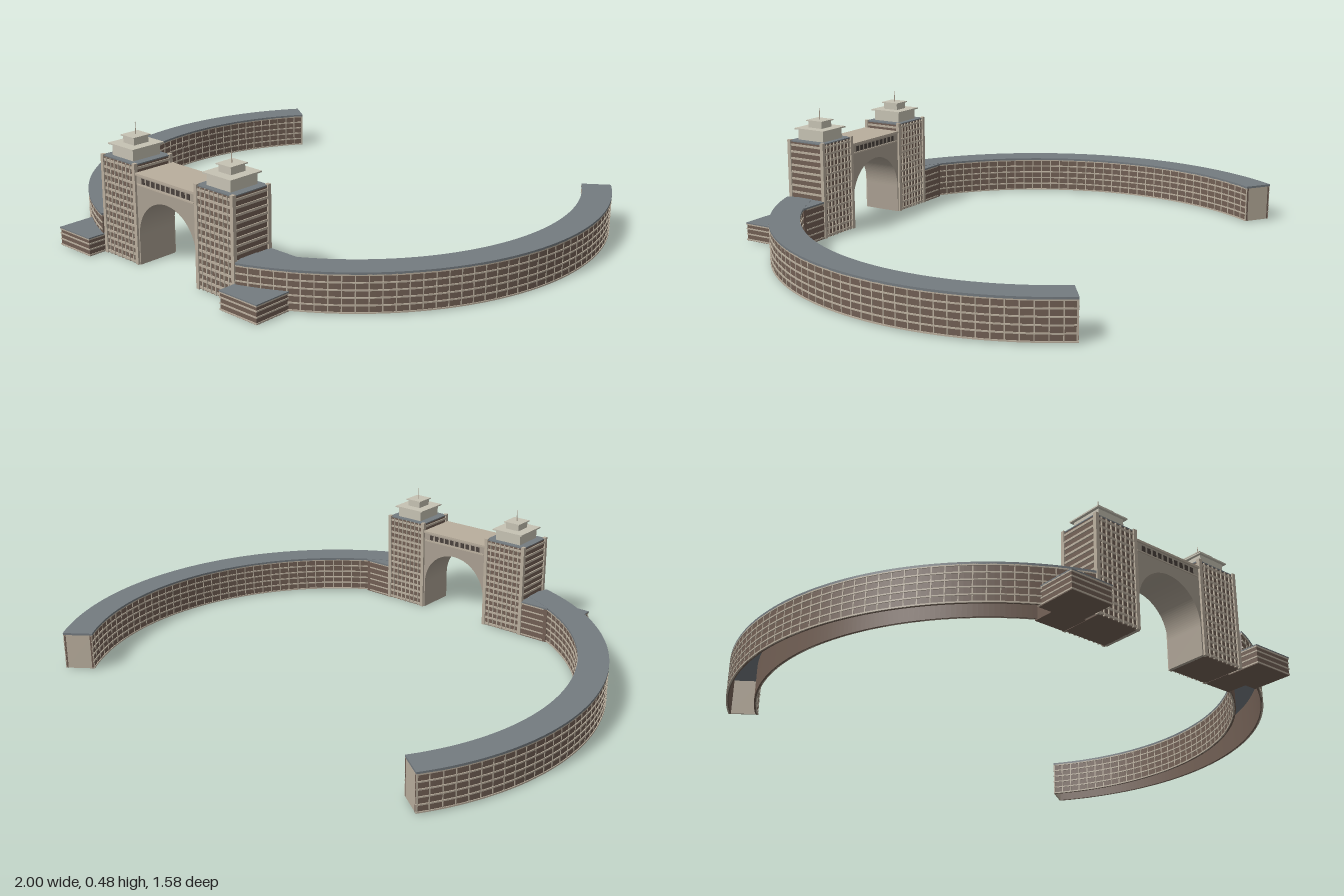
import * as THREE from 'three';

const mat = (color) => new THREE.MeshStandardMaterial({ color });
const BRICK = mat(0x715f54), TRIM = mat(0xb9ae9d), STONE = mat(0xa99f91);
const SLATE = mat(0x747b80), CREAM = mat(0xc6c2b3), DARK = mat(0x4a423d);
const RAD = Math.PI / 180;
const RING_Z = -0.215, A0 = -35, A1 = 70; // ring centre and angular range of each wing

function add(parent, name, geometry, material) {
  const mesh = new THREE.Mesh(geometry, material);
  mesh.name = name;
  parent.add(mesh);
  return mesh;
}

// box given by its centre in x and z, its size, and its bottom and top
function box(parent, name, material, x, z, w, d, y0, y1) {
  const m = add(parent, name, new THREE.BoxGeometry(w, y1 - y0, d), material);
  m.position.set(x, (y0 + y1) / 2, z);
  return m;
}

// curved strip between two radii, on the side given by +1 or -1
function arc(parent, name, material, side, ri, ro, y0, y1) {
  const a = (side > 0 ? -A1 : 180 - A0 * -1) * RAD;
  const b = (side > 0 ? -A0 : 180 + A1) * RAD;
  const s = new THREE.Shape();
  s.absarc(0, 0, ro, a, b, false);
  s.absarc(0, 0, ri, b, a, true);
  const g = new THREE.ExtrudeGeometry(s, { depth: y1 - y0, bevelEnabled: false, curveSegments: 48 });
  g.rotateX(-Math.PI / 2);
  const m = add(parent, name, g, material);
  m.position.set(0, y0, RING_Z);
  return m;
}

// upright block placed on the ring at a given angle
function radial(parent, name, material, side, angle, r, depth, width, y0, y1) {
  const a = angle * RAD;
  const m = box(parent, name, material, side * r * Math.cos(a), RING_Z + r * Math.sin(a), depth, width, y0, y1);
  m.rotation.y = -side * a;
  return m;
}

function wing(side) {
  const g = new THREE.Group();
  g.name = side > 0 ? 'leftWing' : 'rightWing';
  // hollow curved building with a slate roof
  arc(g, 'outerWall', BRICK, side, 0.990, 0.997, 0.004, 0.137);
  arc(g, 'innerWall', BRICK, side, 0.893, 0.900, 0.004, 0.137);
  arc(g, 'wingRoof', SLATE, side, 0.89, 1.0, 0.137, 0.145);
  // floor bands
  for (let i = 0; i < 6; i++) {
    const y = 0.004 + i * 0.0258;
    arc(g, 'outerBand', TRIM, side, 0.994, 1.0, y, y + 0.005);
    arc(g, 'innerBand', TRIM, side, 0.89, 0.896, y, y + 0.005);
  }
  // pilasters
  for (let a = A0 + 2.5; a < A1; a += 2.5) {
    radial(g, 'outerPilaster', TRIM, side, a, 0.9965, 0.004, 0.004, 0.004, 0.137);
    radial(g, 'innerPilaster', TRIM, side, a, 0.8935, 0.004, 0.004, 0.004, 0.137);
  }
  radial(g, 'endWall', TRIM, side, A0 + 0.2, 0.945, 0.108, 0.006, 0.004, 0.137);
  // infill behind the wing, next to the tower
  box(g, 'rearLink', BRICK, side * 0.39, 0.605, 0.12, 0.104, 0, 0.137);
  box(g, 'rearLinkRoof', SLATE, side * 0.39, 0.605, 0.12, 0.108, 0.137, 0.144);
  for (let i = 0; i < 6; i++) {
    const y = 0.004 + i * 0.0258;
    box(g, 'rearLinkBand', TRIM, side * 0.385, 0.555, 0.1, 0.008, y, y + 0.005);
  }
  // low annex in front
  box(g, 'annex', BRICK, side * 0.42, 0.71, 0.164, 0.154, 0, 0.066);
  box(g, 'annexRoof', SLATE, side * 0.42, 0.71, 0.17, 0.16, 0.066, 0.07);
  for (const y of [0.002, 0.023, 0.044, 0.061])
    box(g, 'annexBand', TRIM, side * 0.42, 0.71, 0.169, 0.159, y, y + 0.005);
  return g;
}

function tower(side) {
  const g = new THREE.Group();
  g.name = side > 0 ? 'leftTower' : 'rightTower';
  const x = side * 0.242, z = 0.635;
  box(g, 'towerBody', BRICK, x, z, 0.172, 0.158, 0, 0.36);
  // projecting floor bands
  for (let i = 0; i < 14; i++) {
    const y = 0.004 + i * 0.0262;
    box(g, 'towerBand', TRIM, x, z, 0.18, 0.166, y, y + 0.008);
  }
  // mullions on front and back, corner piers
  for (const s of [-1, 1]) {
    for (let i = -3; i <= 3; i++)
      box(g, 'mullion', TRIM, x + i * 0.021, z + s * 0.08, 0.004, 0.008, 0, 0.36);
    for (const t of [-1, 1])
      box(g, 'cornerPier', TRIM, x + s * 0.085, z + t * 0.079, 0.014, 0.014, 0, 0.367);
  }
  box(g, 'towerRoof', SLATE, x, z, 0.176, 0.162, 0.36, 0.364);
  // stepped crown with a spire
  box(g, 'crownLower', CREAM, x, z, 0.112, 0.12, 0.362, 0.404);
  box(g, 'crownLowerRoof', CREAM, x, z, 0.134, 0.14, 0.404, 0.409);
  box(g, 'crownUpper', CREAM, x, z, 0.058, 0.064, 0.409, 0.434);
  box(g, 'crownUpperRoof', CREAM, x, z, 0.07, 0.076, 0.434, 0.438);
  const spire = add(g, 'spire', new THREE.CylinderGeometry(0.001, 0.002, 0.044, 8), TRIM);
  spire.position.set(x, 0.46, z);
  return g;
}

function bridge() {
  const g = new THREE.Group();
  g.name = 'archBridge';
  const r = 0.145, spring = 0.108, w = 0.158;
  // spandrel block with a round arch cut from below
  const s = new THREE.Shape();
  s.moveTo(-w, 0);
  s.lineTo(-r, 0);
  s.lineTo(-r, spring);
  s.absarc(0, spring, r, Math.PI, 0, true);
  s.lineTo(r, 0);
  s.lineTo(w, 0);
  s.lineTo(w, 0.328);
  s.lineTo(-w, 0.328);
  const geo = new THREE.ExtrudeGeometry(s, { depth: 0.156, bevelEnabled: false, curveSegments: 32 });
  add(g, 'archBlock', geo, STONE).position.z = 0.557;
  box(g, 'bridgeRoof', TRIM, 0, 0.635, 0.3, 0.168, 0.328, 0.336);
  // gallery windows under the roof, with a sill
  for (const t of [-1, 1]) {
    const z = 0.635 + t * 0.078;
    for (let i = 0; i < 10; i++)
      box(g, 'galleryWindow', DARK, (i - 4.5) * 0.0255, z, 0.016, 0.003, 0.301, 0.321);
    box(g, 'gallerySill', TRIM, 0, z, 0.29, 0.008, 0.293, 0.298);
  }
  return g;
}

export function createModel() {
  const model = new THREE.Group();
  model.name = 'gatehouse';
  for (const side of [-1, 1]) model.add(wing(side), tower(side));
  model.add(bridge());
  return model;
}
